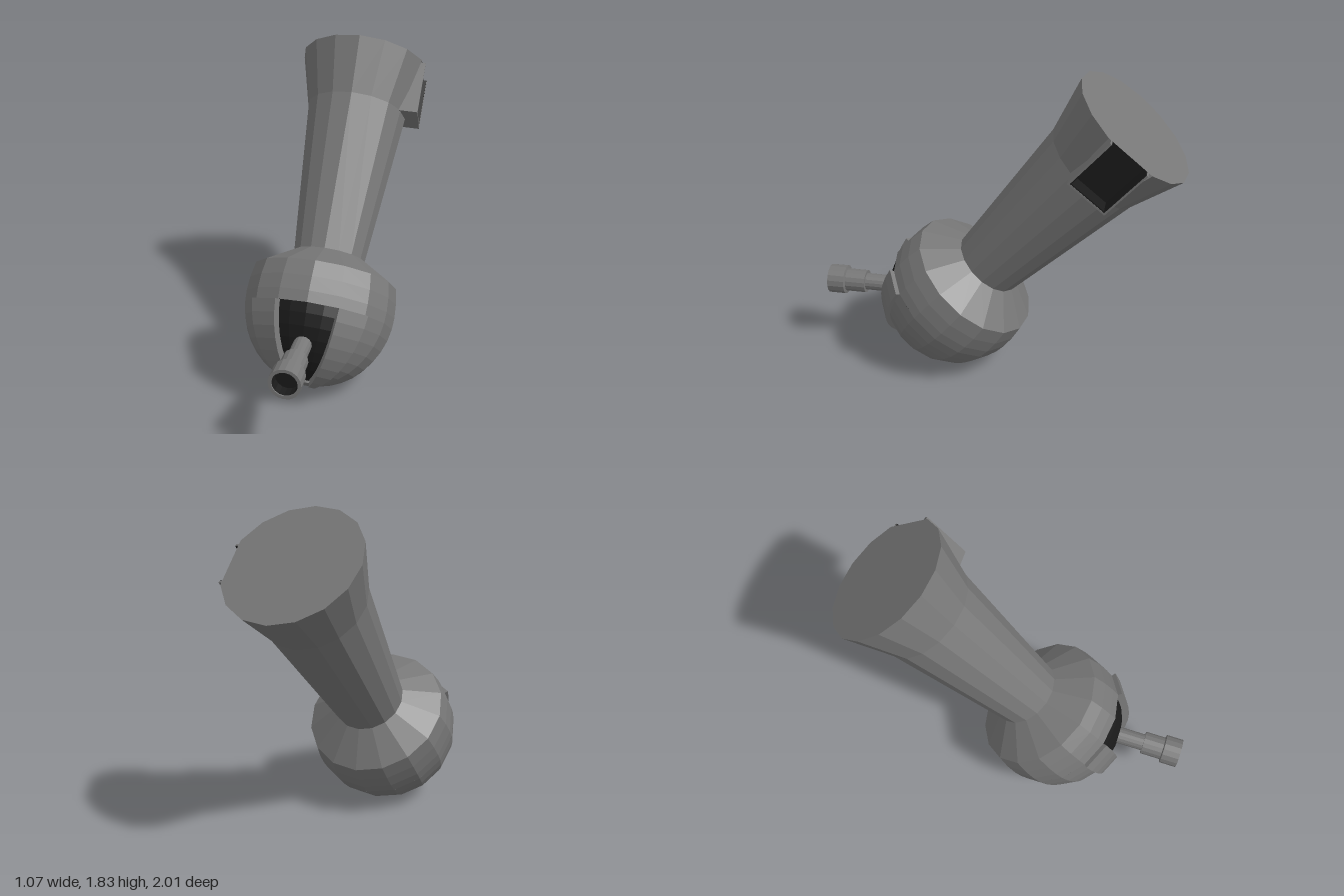
import * as THREE from 'three';

const rad = THREE.MathUtils.degToRad;
const grey = new THREE.MeshStandardMaterial({ color: 0x777777, flatShading: true, side: THREE.DoubleSide });
const dark = new THREE.MeshStandardMaterial({ color: 0x1a1a1a, flatShading: true, side: THREE.DoubleSide });
const R = 0.442;    // ball radius along the neck axis
const SLIM = 0.962; // the ball is slightly narrower across

function part(parent, name, geometry, material = grey) {
  const mesh = new THREE.Mesh(geometry, material);
  mesh.name = name;
  parent.add(mesh);
  return mesh;
}

// Curved block: a box bent onto the ball (degrees of longitude and polar angle)
function shell(r0, r1, lon0, lon1, pol0, pol1, nLon, nPol) {
  const g = new THREE.BoxGeometry(1, 1, 1, nLon, nPol, 1);
  const p = g.attributes.position;
  for (let i = 0; i < p.count; i++) {
    const lon = rad(THREE.MathUtils.lerp(lon0, lon1, p.getX(i) + 0.5));
    const pol = rad(THREE.MathUtils.lerp(pol1, pol0, p.getY(i) + 0.5));
    const r = THREE.MathUtils.lerp(r0, r1, p.getZ(i) + 0.5);
    const across = r * SLIM * Math.sin(pol);
    p.setXYZ(i, across * Math.sin(lon), r * Math.cos(pol), across * Math.cos(lon));
  }
  g.computeVertexNormals();
  return g;
}

const lathe = (points, sides) =>
  new THREE.LatheGeometry(points.map(([r, y]) => new THREE.Vector2(r, y)), sides);

function box(x0, x1, y0, y1, z0, z1) {
  return new THREE.BoxGeometry(x1 - x0, y1 - y0, z1 - z0)
    .translate((x0 + x1) / 2, (y0 + y1) / 2, (z0 + z1) / 2);
}

export function createModel() {
  const model = new THREE.Group();
  model.name = 'model';

  // Everything is built upright around the ball centre, then tilted
  const body = new THREE.Group();
  body.name = 'body';
  model.add(body);

  // Ball: upper band, lower part with a window gap at the front, closed pole
  const ballPart = (name, segs, rings, lon, lonLen, pol0, pol1) => part(body, name,
    new THREE.SphereGeometry(R, segs, rings, rad(lon), rad(lonLen), rad(pol0), rad(pol1 - pol0))
      .scale(SLIM, 1, SLIM));
  part(body, 'ballBand', lathe([[0.421, -0.0615], [0.425, 0], [0.421, 0.08], [0.406, 0.169]], 16));
  ballPart('ballBowl', 14, 8, 112.5, 315, 98, 170);
  ballPart('ballPole', 16, 1, 0, 360, 170, 180);
  part(body, 'windowInterior', shell(0.3, 0.425, -26, 26, 96, 172, 4, 8), dark);

  // Raised doors either side of the window
  part(body, 'leftDoor', shell(0.4, 0.469, 22.5, 45, 98, 168, 1, 8));
  part(body, 'rightDoor', shell(0.4, 0.469, -45, -22.5, 98, 168, 1, 8));

  // Shoulder and tapering neck
  part(body, 'neck', lathe([[0.406, 0.169], [0.206, 0.293], [0.294, 1.195]], 16));

  // Flared end, left open at the vent, with its flat cap
  part(body, 'neckFlare', new THREE.CylinderGeometry(0.379, 0.294, 0.317, 14, 1, true, rad(112.5), rad(315))
    .translate(0, 1.3535, 0));
  const rim = [];
  for (let i = 0; i < 15; i++) {
    const a = rad(22.5 + i * 22.5);
    rim.push(new THREE.Vector2(0.379 * Math.cos(a), 0.379 * Math.sin(a)));
  }
  part(body, 'endCap', new THREE.ShapeGeometry(new THREE.Shape(rim)).rotateX(-Math.PI / 2).translate(0, 1.512, 0));

  // Side vent: two cheeks lined in dark, a sill and a dark recess
  const vent = new THREE.Group();
  vent.name = 'vent';
  body.add(vent);
  for (const s of [-1, 1]) {
    part(vent, 'ventCheek', box(0.2, 0.372, 1.19, 1.505, s * 0.121 - 0.005, s * 0.121 + 0.005));
    part(vent, 'ventCheekLining', box(0.2, 0.37, 1.2, 1.504, s * 0.113 - 0.003, s * 0.113 + 0.003), dark);
  }
  part(vent, 'ventSill', box(0.2, 0.372, 1.19, 1.2, -0.12, 0.12));
  part(vent, 'ventSillLining', box(0.2, 0.37, 1.2, 1.206, -0.115, 0.115), dark);
  part(vent, 'ventRecess', box(0.2, 0.28, 1.2, 1.505, -0.125, 0.125), dark);

  // Stepped nozzle looking out of the window
  const nozzle = new THREE.Group();
  nozzle.name = 'nozzle';
  nozzle.rotation.x = rad(130.8);
  body.add(nozzle);
  part(nozzle, 'nozzleBarrel', lathe([
    [0.05, 0.3], [0.05, 0.565], [0.068, 0.565], [0.068, 0.685], [0.086, 0.69],
    [0.086, 0.79], [0.068, 0.79], [0.068, 0.72],
  ], 16));
  part(nozzle, 'nozzleBore', lathe([[0.067, 0.785], [0.067, 0.72], [0, 0.72]], 16), dark);

  // Tilt: neck axis leans back, nozzle points forward and a little left
  const axis = new THREE.Vector3(-0.185, 0.762, -0.622).normalize();
  const front = new THREE.Vector3(0.35, -0.01, 0.936);
  front.addScaledVector(axis, -front.dot(axis)).normalize();
  const side = new THREE.Vector3().crossVectors(axis, front);
  body.quaternion.setFromRotationMatrix(new THREE.Matrix4().makeBasis(side, axis, front));
  body.position.set(0.113, 0.442, 0.23);
  return model;
}
